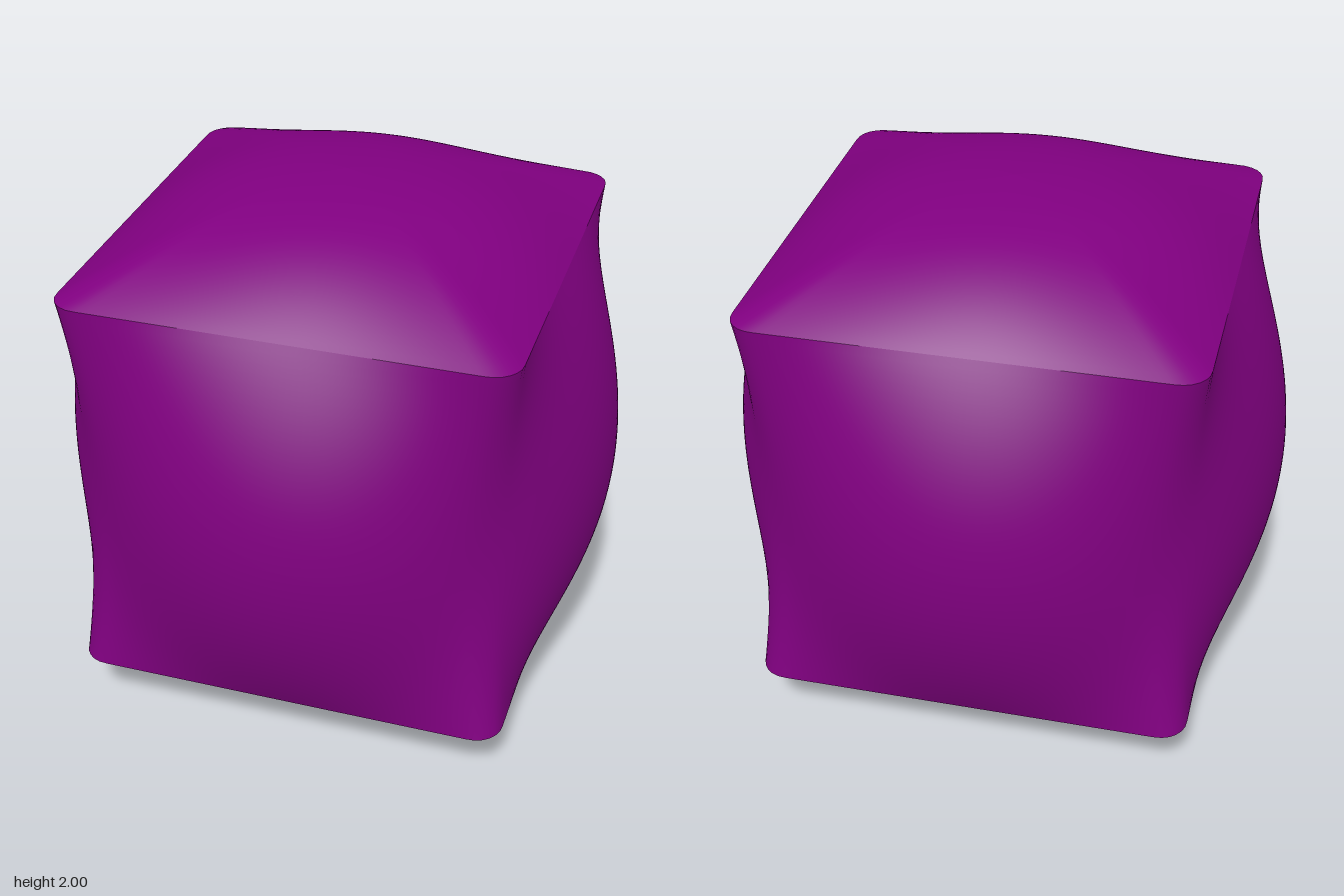
import * as THREE from 'three';

const HALF = 0.79, CORNER = 0.1, EDGE = 0.74, TOP = 1, SEGMENTS = 256;

// Distance from the axis to a rounded square, along angle a
function squareRadius(a) {
  const c = Math.max(Math.abs(Math.cos(a)), Math.abs(Math.sin(a)));
  const s = Math.min(Math.abs(Math.cos(a)), Math.abs(Math.sin(a)));
  const inner = HALF - CORNER;
  if (HALF * s / c <= inner) return HALF / c;
  const d = inner * (c + s);
  return d + Math.sqrt(Math.max(0, d * d - 2 * inner * inner + CORNER * CORNER));
}

// Smooth skin through closed rings, listed from the bottom up
function loft(rows, ring) {
  const pos = [], index = [];
  for (let i = 0; i <= rows; i++) {
    for (let j = 0; j < SEGMENTS; j++) {
      const a = j / SEGMENTS * Math.PI * 2;
      const { r, y } = ring(i / rows, a);
      pos.push(Math.sin(a) * r, y, Math.cos(a) * r);
      if (i === rows) continue;
      const k = (j + 1) % SEGMENTS;
      const p = i * SEGMENTS + j, q = i * SEGMENTS + k;
      index.push(p, q, q + SEGMENTS, p, q + SEGMENTS, p + SEGMENTS);
    }
  }
  const geo = new THREE.BufferGeometry();
  geo.setAttribute('position', new THREE.Float32BufferAttribute(pos, 3));
  geo.setIndex(index);
  geo.computeVertexNormals();
  return geo;
}

export function createModel() {
  const group = new THREE.Group();
  group.name = 'puffyCube';
  const material = new THREE.MeshStandardMaterial({ color: 0x800080 });

  // Sides: rounded square at both ends, circle at mid height
  const sides = new THREE.Mesh(loft(48, (v, a) => {
    const u = 2 * v - 1;
    return { r: THREE.MathUtils.lerp(1, squareRadius(a), u * u), y: 1 + EDGE * u };
  }), material);
  sides.name = 'sides';
  group.add(sides);

  // Caps: domes that turn from a circle at the crown to the rounded square rim
  const capGeometry = loft(40, (v, a) => {
    const t = 1 - v;
    const r = t * THREE.MathUtils.lerp(HALF, squareRadius(a), t ** 3);
    const rise = 0.85 * (1 - t ** 3) + 0.15 * (1 - t);
    return { r, y: EDGE + (TOP - EDGE) * rise };
  });
  for (const name of ['topCap', 'bottomCap']) {
    const cap = new THREE.Mesh(capGeometry, material);
    cap.name = name;
    cap.position.y = 1;
    if (name === 'bottomCap') cap.rotation.x = Math.PI;
    group.add(cap);
  }
  return group;
}
